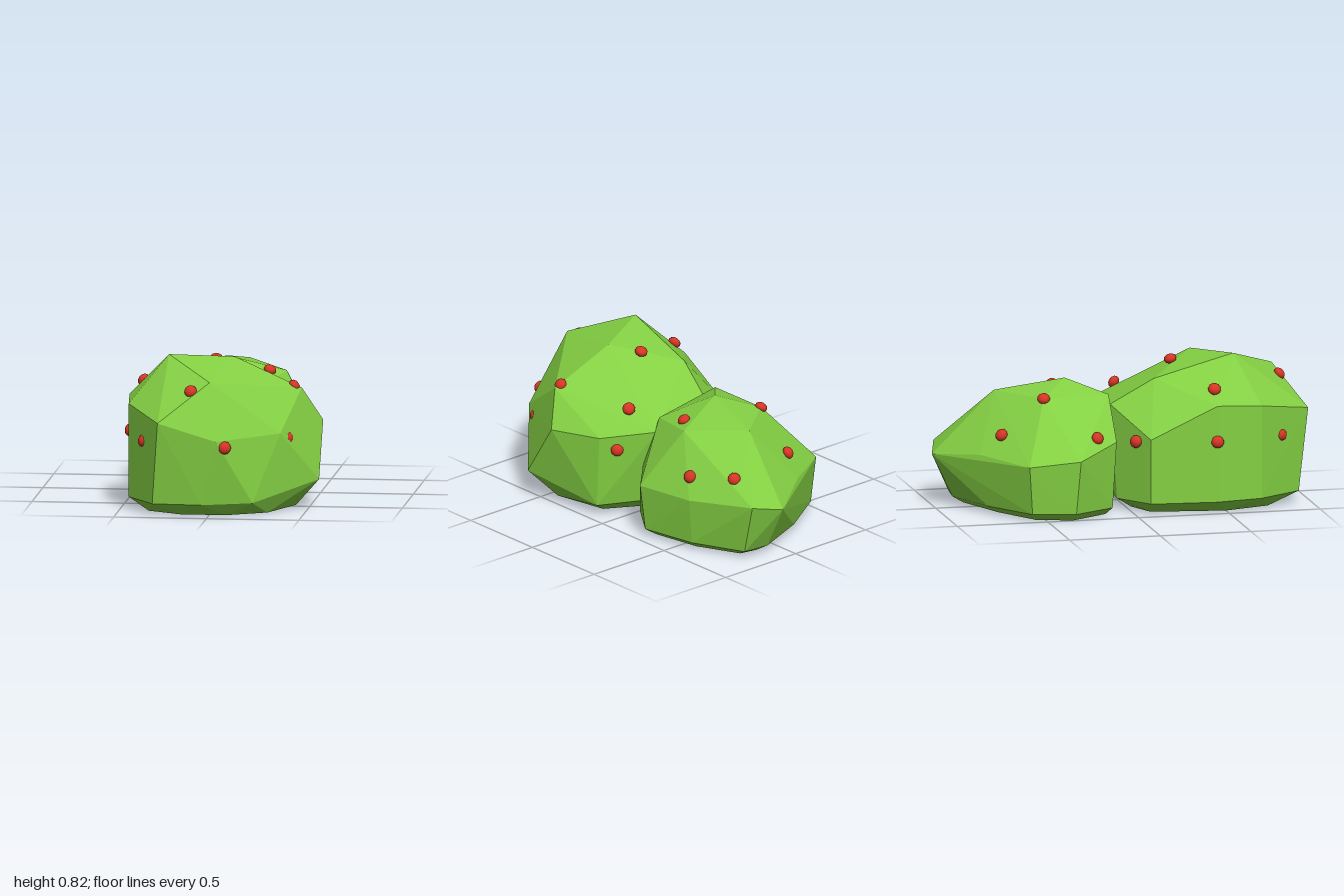
import * as THREE from 'three';
import { ConvexGeometry } from 'three/addons/geometries/ConvexGeometry.js';

const leafGreen = new THREE.MeshStandardMaterial({ color: 0x84d043 });
leafGreen.name = 'leafGreen';
const berryRed = new THREE.MeshStandardMaterial({ color: 0xd83625 });
berryRed.name = 'berryRed';

// Corner points of each faceted bush, listed from the crown down to the base
const frontCorners = [
  // crown
  [-0.25, 0.825, 0.58], [0.085, 0.795, 0.42], [0, 0.715, 0.85], [0.45, 0.635, 0.44], [-0.22, 0.7, 0.15],
  // shoulders
  [-0.265, 0.51, 0.99], [0.05, 0.415, 0.99], [0.37, 0.43, 0.74], [0.555, 0.45, 0.35], [0.45, 0.455, 0.08],
  [0.23, 0.5, -0.14], [-0.17, 0.56, -0.08], [-0.45, 0.41, 0.08], [-0.48, 0.585, 0.44], [-0.455, 0.57, 0.69],
  // skirt
  [0.235, 0.07, 0.88], [-0.035, 0.065, 0.95], [-0.3, 0.065, 0.93], [-0.455, 0.065, 0.69], [-0.48, 0.06, 0.44],
  [-0.45, 0.06, 0.08], [-0.25, 0.06, -0.06], [0.2, 0.08, -0.07], [0.45, 0.06, 0.1], [0.555, 0.155, 0.54],
  // base
  [-0.155, 0, 0.86], [0.09, 0, 0.86], [0.3, 0, 0.74], [0.42, 0, 0.45], [0.36, 0, 0.15], [0.15, 0, 0.03],
  [-0.2, 0, 0.03], [-0.36, 0, 0.1], [-0.42, 0, 0.5], [-0.34, 0, 0.75],
];
const backCorners = [
  // crown
  [-0.04, 0.69, -0.3], [-0.22, 0.625, -0.1], [-0.23, 0.62, -0.46], [0.04, 0.625, -0.67], [0.27, 0.6, -0.4], [0.18, 0.56, -0.1],
  // shoulders
  [0.09, 0.28, -1], [0.265, 0.32, -0.95], [0.4, 0.29, -0.59], [0.45, 0.285, -0.25], [0.28, 0.3, -0.08],
  [-0.41, 0.4, -0.1], [-0.555, 0.33, -0.33], [-0.5, 0.3, -0.6], [-0.19, 0.32, -0.8],
  // skirt
  [0.1, 0.04, -0.885], [0.25, 0.04, -0.87], [0.38, 0.04, -0.59], [0.44, 0.04, -0.28], [0.3, 0.04, -0.08],
  [-0.4, 0.04, -0.12], [-0.53, 0.04, -0.35], [-0.48, 0.04, -0.58], [-0.2, 0.04, -0.76],
  // base
  [0.12, 0, -0.82], [0.22, 0, -0.8], [0.33, 0, -0.57], [0.38, 0, -0.3], [0.25, 0, -0.12],
  [-0.36, 0, -0.15], [-0.49, 0, -0.36], [-0.43, 0, -0.55], [-0.18, 0, -0.7],
];

const frontBerries = [
  [-0.405, 0.665, 0.44], [-0.1, 0.67, 0.87], [0.41, 0.645, 0.44], [-0.48, 0.39, 0.44], [-0.36, 0.39, 0.82],
  [0.095, 0.38, 0.965], [0.4, 0.395, 0.66], [-0.03, 0.765, 0.285], [0.27, 0.59, 0.045], [0.38, 0.39, 0.015], [-0.37, 0.39, 0.015],
];
const backBerries = [
  [-0.22, 0.43, -0.69], [0.24, 0.43, -0.775], [0.35, 0.4, -0.54], [-0.23, 0.62, -0.46], [0.19, 0.615, -0.31], [-0.43, 0.43, -0.21],
];

const berryGeometry = new THREE.IcosahedronGeometry(0.035, 1);

function makeBush(name, corners, berries, centre) {
  const bush = new THREE.Group();
  bush.name = name;
  const foliage = new THREE.Mesh(new ConvexGeometry(corners.map((p) => new THREE.Vector3(...p))), leafGreen);
  foliage.name = name + 'Foliage';
  bush.add(foliage);
  // berries are slightly flattened against the foliage
  berries.forEach((p, i) => {
    const berry = new THREE.Mesh(berryGeometry, berryRed);
    berry.name = `${name}Berry${i + 1}`;
    berry.position.set(...p);
    const outward = berry.position.clone().sub(centre).normalize();
    berry.quaternion.setFromUnitVectors(new THREE.Vector3(0, 0, 1), outward);
    berry.scale.z = 0.75;
    bush.add(berry);
  });
  return bush;
}

export function createModel() {
  const model = new THREE.Group();
  model.name = 'berryBushes';
  model.add(
    makeBush('frontBush', frontCorners, frontBerries, new THREE.Vector3(0, 0.3, 0.43)),
    makeBush('backBush', backCorners, backBerries, new THREE.Vector3(0, 0.2, -0.42)),
  );
  return model;
}
